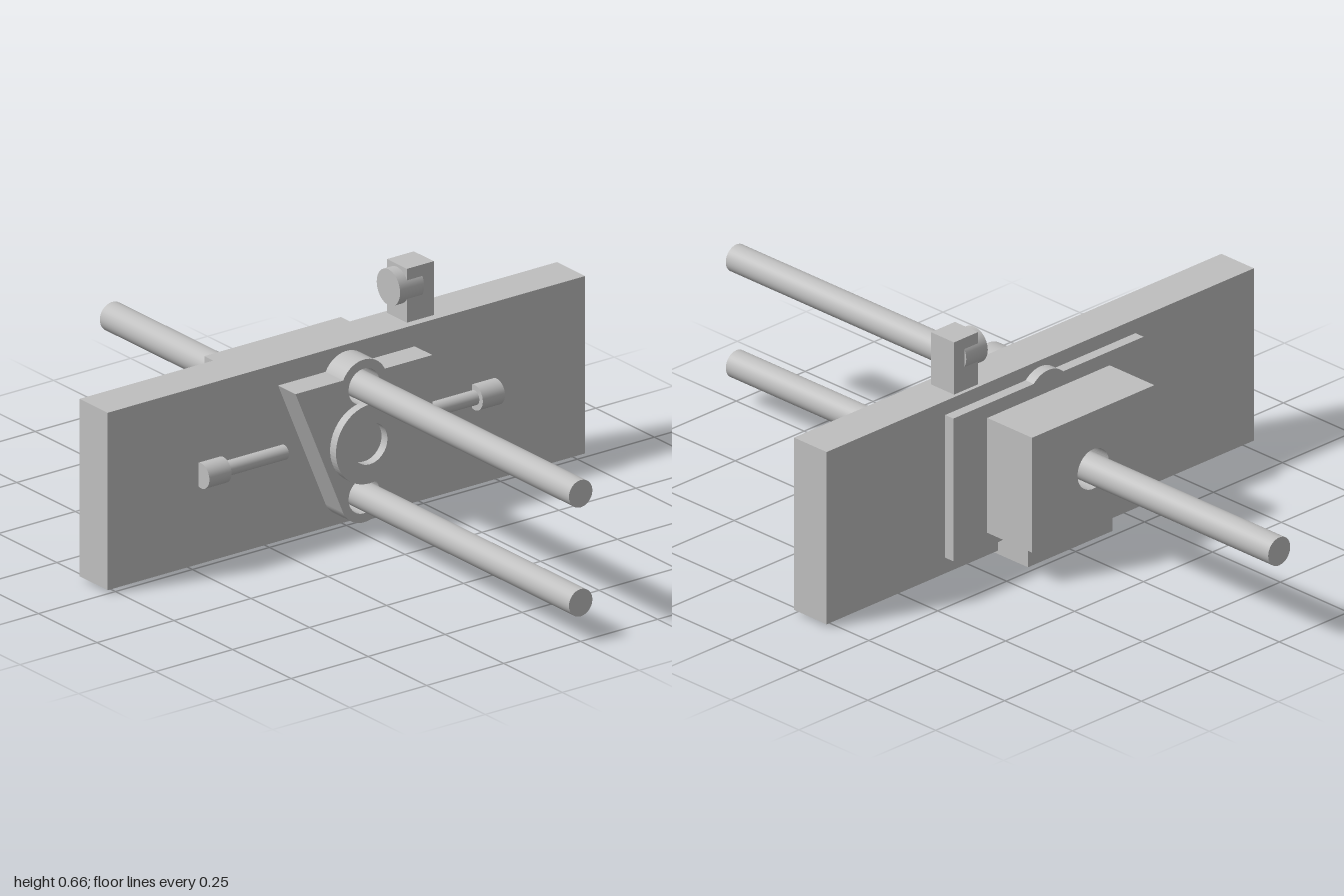
import * as THREE from 'three';

const MID = 0.26;          // height of the central axis
const BOSS = 0.152;        // rod axes above and below the centre

export function createModel() {
  const group = new THREE.Group();
  const metal = new THREE.MeshStandardMaterial({ color: 0xbfbfbf });
  metal.name = 'grey metal';

  const add = (name, geometry) => {
    const mesh = new THREE.Mesh(geometry, metal);
    mesh.name = name;
    group.add(mesh);
    return mesh;
  };
  // box given by its limits on each axis
  const box = (name, [x0, x1], [y0, y1], [z0, z1]) =>
    add(name, new THREE.BoxGeometry(x1 - x0, y1 - y0, z1 - z0))
      .position.set((x0 + x1) / 2, (y0 + y1) / 2, (z0 + z1) / 2);
  // cylinder along x
  const rodX = (name, r, x0, x1, y) => {
    const g = new THREE.CylinderGeometry(r, r, x1 - x0, 40).rotateZ(-Math.PI / 2);
    add(name, g).position.set((x0 + x1) / 2, y, 0);
  };
  // cylinder along z
  const rodZ = (name, r, z0, z1, x, y) => {
    const g = new THREE.CylinderGeometry(r, r, Math.abs(z1 - z0), 40).rotateX(Math.PI / 2);
    add(name, g).position.set(x, y, (z0 + z1) / 2);
  };
  // profile in the zy plane, extruded along x
  const slab = (name, shape, x0, x1) => {
    const g = new THREE.ExtrudeGeometry(shape, { depth: x1 - x0, bevelEnabled: false, curveSegments: 32 });
    add(name, g.rotateY(Math.PI / 2)).position.set(x0, MID, 0);
  };
  const hole = (y, r) => new THREE.Path().absarc(0, y, r, 0, Math.PI * 2, true);
  const rect = (w, h) => new THREE.Shape().moveTo(-w, -h).lineTo(w, -h).lineTo(w, h).lineTo(-w, h).closePath();
  // rectangle with a round boss swelling out of its top and bottom edges
  const bossedRect = (w, h) => {
    const r = 0.075, a = Math.asin((h - BOSS) / r);
    const s = new THREE.Shape().moveTo(-w, -h);
    s.absarc(0, -BOSS, r, Math.PI + a, Math.PI * 2 - a, false);
    s.lineTo(w, -h).lineTo(w, h);
    s.absarc(0, BOSS, r, a, Math.PI - a, false);
    s.lineTo(-w, h).closePath();
    return s;
  };

  // main crossbar
  box('mainPlate', [-0.12, 0], [0.01, 0.505], [-0.775, 0.775]);

  // bearing block with rod sockets
  const block = bossedRect(0.222, 0.185);
  block.holes.push(hole(BOSS, 0.05), hole(-BOSS, 0.05));
  slab('rodBlock', block, 0, 0.075);

  // raised ring on the block
  const ring = new THREE.Shape().absarc(0, 0, 0.11, 0, Math.PI * 2, false);
  ring.holes.push(hole(0, 0.057));
  slab('centreRing', ring, 0.075, 0.1);

  // twin guide rods
  for (const s of [1, -1]) rodX('guideRod', 0.038, -0.01, 1, MID + s * BOSS);

  // rear flange, housing and shaft
  slab('rearFlange', bossedRect(0.345, 0.205), -0.15, -0.12);
  const housing = rect(0.222, 0.165);
  housing.holes.push(hole(0, 0.057));
  slab('rearHousing', housing, -0.315, -0.15);
  rodX('rearShaft', 0.04, -1, -0.14, MID);

  // foot under the housing
  box('foot', [-0.23, -0.07], [0, 0.095], [-0.153, 0.153]);

  // side screws, half sunk in the crossbar
  for (const s of [1, -1]) {
    rodZ('screwShank', 0.02, s * 0.21, s * 0.41, 0.011, MID);
    rodZ('screwHead', 0.035, s * 0.408, s * 0.48, 0.011, MID);
  }

  // post with a clamp knob that breaks through its sides
  box('post', [-0.109, -0.024], [0.505, 0.655], [-0.302, -0.215]);
  rodZ('clampKnob', 0.05, -0.187, -0.265, -0.0665, 0.597);

  return group;
}
